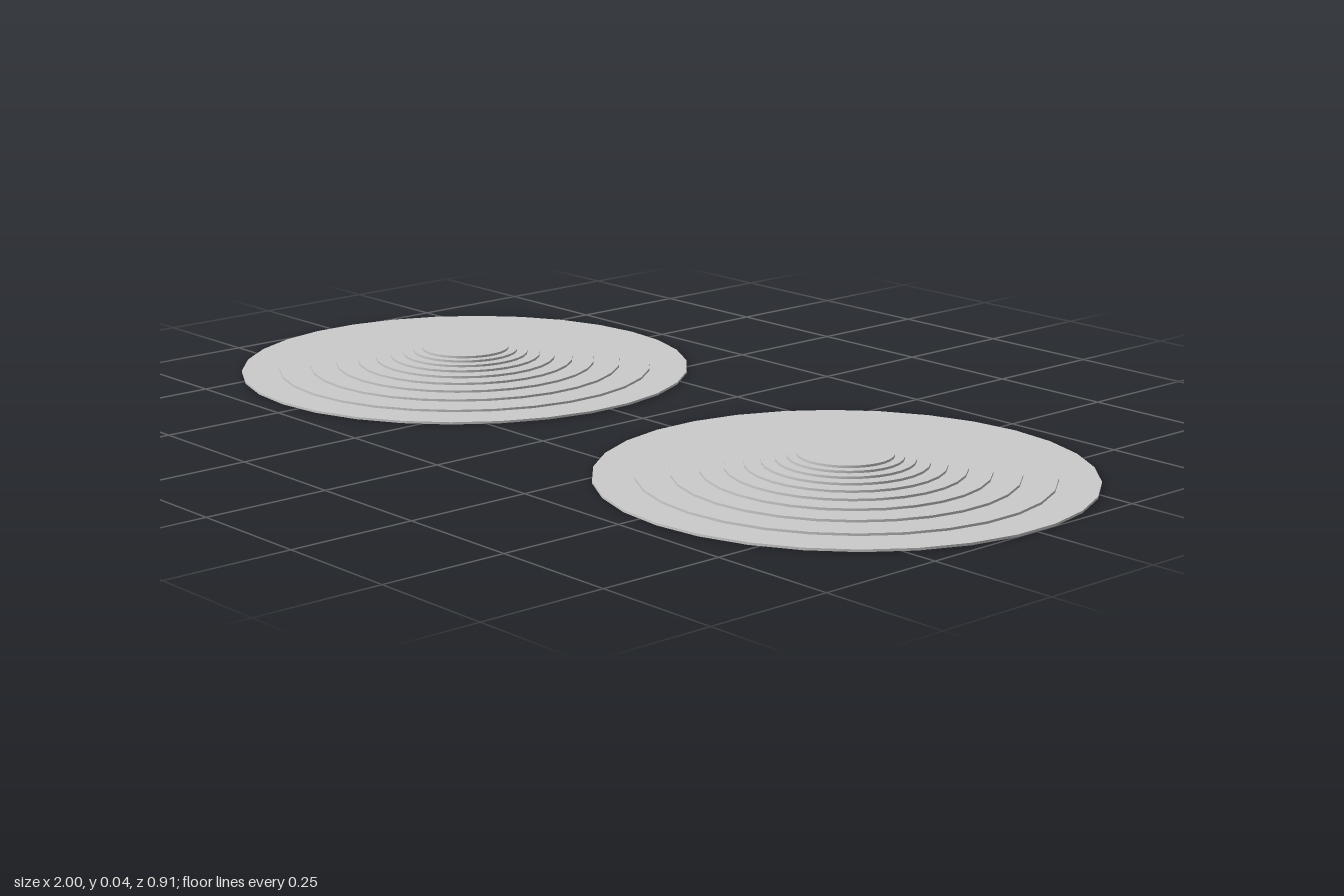
import * as THREE from 'three';

const RADIUS = 0.4557;   // widest step
const STEP = 0.0045;     // height of each step
const STEPS = 10;
const SHRINK = 1.2;      // each step is this much narrower than the one below

const material = new THREE.MeshStandardMaterial({ color: 0xcccccc });

// One low stepped mound of stacked discs
function steppedDisc(name) {
  const mound = new THREE.Group();
  mound.name = name;
  for (let i = 0; i < STEPS; i++) {
    const r = RADIUS / SHRINK ** i;
    const step = new THREE.Mesh(new THREE.CylinderGeometry(r, r, STEP, 30), material);
    step.name = `step${i + 1}`;
    step.position.y = STEP * (i + 0.5);
    mound.add(step);
  }
  return mound;
}

export function createModel() {
  const model = new THREE.Group();
  model.name = 'steppedDiscPair';
  for (const [name, side] of [['leftDisc', 1], ['rightDisc', -1]]) {
    const disc = steppedDisc(name);
    disc.position.x = side * RADIUS * 1.2;
    model.add(disc);
  }
  return model;
}
